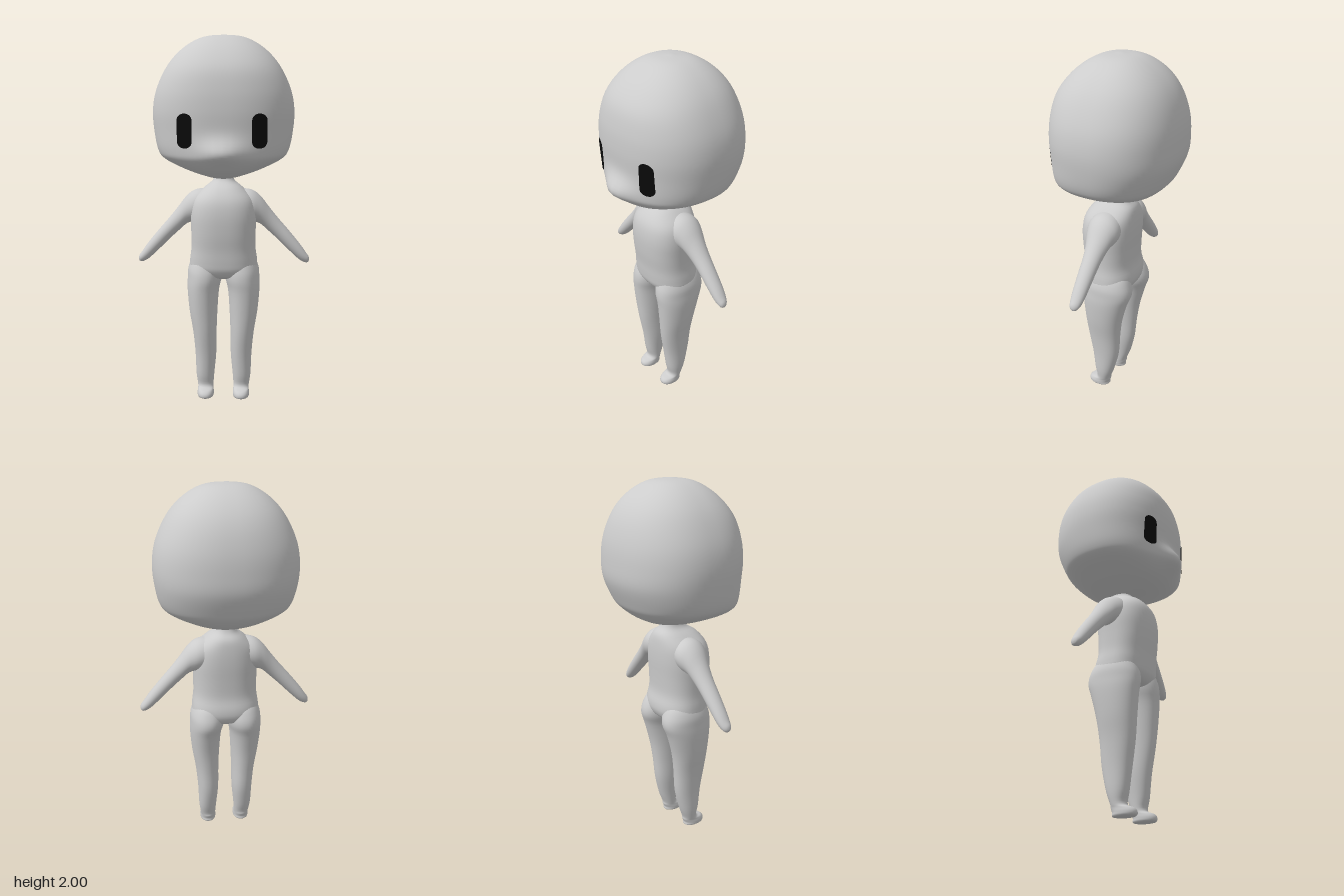
import * as THREE from 'three';
import { mergeVertices } from 'three/addons/utils/BufferGeometryUtils.js';

// Cross-section rows: [position along axis, centre 1, radius 1, centre 2, radius 2]
const HEAD = [
  [2.0, 0, 0, -0.02, 0], [1.986, 0, 0.11, -0.02, 0.1], [1.945, 0, 0.195, -0.02, 0.18],
  [1.88, 0, 0.268, -0.018, 0.25], [1.8, 0, 0.322, -0.015, 0.3], [1.7, 0, 0.364, -0.018, 0.327],
  [1.6, 0, 0.38, -0.02, 0.335], [1.5, 0, 0.374, -0.02, 0.33], [1.4, 0, 0.353, -0.003, 0.308],
  [1.35, 0, 0.315, 0.008, 0.288], [1.3, 0, 0.215, 0.018, 0.236], [1.265, 0, 0.12, 0.025, 0.16],
  [1.245, 0, 0.05, 0.02, 0.08], [1.24, 0, 0, 0.02, 0],
];
const TORSO = [
  [1.28, 0, 0.045, -0.01, 0.055], [1.23, 0, 0.058, -0.01, 0.07], [1.19, 0, 0.105, 0.005, 0.115],
  [1.13, 0, 0.16, 0.022, 0.142], [1.05, 0, 0.178, 0.029, 0.15], [0.95, 0, 0.177, 0.03, 0.145],
  [0.86, 0, 0.177, 0.025, 0.138], [0.79, 0, 0.186, 0.015, 0.142], [0.74, 0, 0.182, 0.012, 0.135],
  [0.7, 0, 0.12, 0.01, 0.1], [0.675, 0, 0, 0.01, 0],
];
const LEG = [
  [0.85, 0.09, 0, 0.01, 0], [0.81, 0.093, 0.07, 0.01, 0.1], [0.75, 0.099, 0.095, 0.006, 0.136],
  [0.69, 0.104, 0.096, 0.006, 0.146], [0.62, 0.113, 0.088, 0.015, 0.131], [0.5, 0.112, 0.078, 0.025, 0.11],
  [0.38, 0.105, 0.066, 0.027, 0.096], [0.25, 0.1, 0.059, 0.022, 0.08], [0.13, 0.103, 0.051, 0.028, 0.058],
  [0.065, 0.101, 0.044, 0.034, 0.041], [0.045, 0.1, 0.044, 0.055, 0.061], [0.025, 0.1, 0.046, 0.066, 0.064],
  [0.006, 0.1, 0.04, 0.062, 0.058], [0, 0.1, 0, 0.06, 0],
];
// Arm sections run outward along x, so the centres are y and z
const ARM = [
  [0.08, 1.1, 0.085, 0.005, 0.09], [0.15, 1.09, 0.088, 0.002, 0.092], [0.2, 1.067, 0.078, 0, 0.075],
  [0.25, 1.014, 0.068, -0.002, 0.057], [0.3, 0.96, 0.06, -0.003, 0.048], [0.36, 0.896, 0.055, -0.003, 0.043],
  [0.42, 0.832, 0.046, -0.003, 0.037], [0.455, 0.799, 0.03, -0.002, 0.028],
  [0.471, 0.79, 0.017, 0, 0.016], [0.476, 0.788, 0, 0, 0],
];
const HEAD_POWER = 2.3;

// Smooth interpolation through rows
function sample(rows, t) {
  const i = Math.min(Math.floor(t), rows.length - 2), f = t - i;
  return rows[i].map((b, k) => {
    const c = rows[i + 1][k];
    const a = i > 0 ? rows[i - 1][k] : 2 * b - c;
    const d = i + 2 < rows.length ? rows[i + 2][k] : 2 * c - b;
    return b + 0.5 * f * (c - a + f * (2 * a - 5 * b + 4 * c - d + f * (3 * (b - c) + d - a)));
  });
}

// Skin of superelliptic rings; place(t, u, v) returns the point
function loft(rows, power, place, sides = 48, sub = 4) {
  const pos = [], index = [], n = (rows.length - 1) * sub;
  const bend = (c) => Math.sign(c) * Math.pow(Math.abs(c), 2 / power);
  for (let i = 0; i <= n; i++) {
    const [t, c1, r1, c2, r2] = sample(rows, i / sub);
    for (let j = 0; j < sides; j++) {
      const a = (j / sides) * Math.PI * 2;
      pos.push(...place(t, c1 + Math.max(r1, 0) * bend(Math.cos(a)), c2 + Math.max(r2, 0) * bend(Math.sin(a))));
      if (i === n) continue;
      const p = i * sides + j, q = i * sides + ((j + 1) % sides);
      index.push(p, q, p + sides, q, q + sides, p + sides);
    }
  }
  let geo = new THREE.BufferGeometry();
  geo.setAttribute('position', new THREE.Float32BufferAttribute(pos, 3));
  geo.setIndex(index);
  geo = mergeVertices(geo, 1e-5);
  geo.computeVertexNormals();
  return geo;
}

// Soft muzzle at the front of the face
function muzzle(x, y, z) {
  const front = THREE.MathUtils.smoothstep(z, 0, 0.2);
  return 0.056 * front * Math.exp(-((x / 0.11) ** 2) - ((y - 1.388) / 0.062) ** 2);
}

// Depth of the face surface at x, y
function faceZ(x, y) {
  const i = HEAD.findIndex((r) => r[0] <= y);
  const f = (HEAD[i - 1][0] - y) / (HEAD[i - 1][0] - HEAD[i][0]);
  const [, , w, c, d] = HEAD[i].map((v, k) => THREE.MathUtils.lerp(HEAD[i - 1][k], v, f));
  const z = c + d * Math.pow(1 - Math.pow(Math.abs(x) / w, HEAD_POWER), 1 / HEAD_POWER);
  return z + muzzle(x, y, z);
}

// Upright rounded eye, laid on the face
function eyeGeometry(side) {
  const geo = new THREE.PlaneGeometry(2, 2, 8, 24), p = geo.attributes.position;
  const halfW = 0.039, halfH = 0.087;
  for (let i = 0; i < p.count; i++) {
    const dy = Math.sin((p.getY(i) * Math.PI) / 2) * halfH;
    const over = Math.max(0, Math.abs(dy) - (halfH - halfW)) / halfW;
    const dx = p.getX(i) * halfW * Math.sqrt(Math.max(0, 1 - over ** 2.4));
    const x = side * 0.189 + dx, y = 1.502 + dy;
    p.setXYZ(i, x, y, faceZ(x, y) + 0.005);
  }
  geo.computeVertexNormals();
  return geo;
}

export function createModel() {
  const skin = new THREE.MeshStandardMaterial({ color: 0xcccccc });
  skin.name = 'pale grey skin';
  const black = new THREE.MeshStandardMaterial({ color: 0x0a0a0a, side: THREE.DoubleSide });
  black.name = 'eye black';

  const model = new THREE.Group();
  model.name = 'figure';
  const add = (name, geo, mat = skin) => {
    const mesh = new THREE.Mesh(geo, mat);
    mesh.name = name;
    model.add(mesh);
  };

  add('head', loft(HEAD, HEAD_POWER, (y, x, z) => [x, y, z + muzzle(x, y, z)], 72, 6));
  add('torso', loft(TORSO, 2.4, (y, x, z) => [x, y, z]));

  // Paired parts
  for (const [side, label] of [[1, 'left'], [-1, 'right']]) {
    const legRows = LEG.map(([y, cx, ...rest]) => [y, side * cx, ...rest]);
    add(label + 'Leg', loft(legRows, 2.15, (y, x, z) => [x, y, z]));
    const armRows = ARM.map(([x, ...rest]) => [side * x, ...rest]);
    const arm = loft(armRows, 2, (x, y, z) => [x, y, z], 32);
    if (side < 0) {
      // Mirrored sections run backwards, so turn the faces outward again
      const ix = arm.index.array;
      for (let i = 0; i < ix.length; i += 3) [ix[i], ix[i + 1]] = [ix[i + 1], ix[i]];
      arm.computeVertexNormals();
    }
    add(label + 'Arm', arm);
    add(label + 'Eye', eyeGeometry(side), black);
  }
  return model;
}
